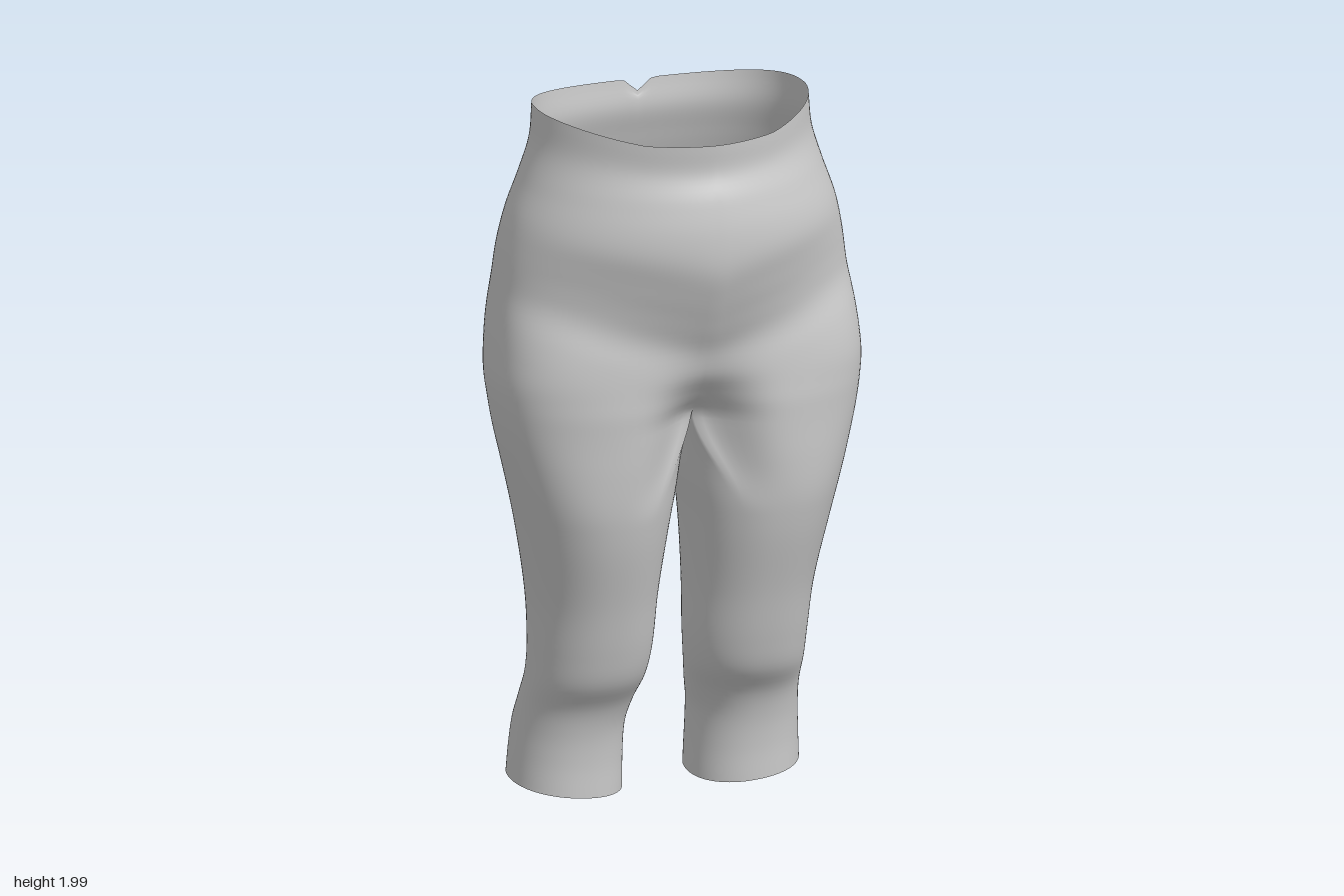
import * as THREE from 'three';
import { mergeGeometries, mergeVertices } from 'three/addons/utils/BufferGeometryUtils.js';

// Silhouette by height: y, half width, front z, back z
const OUTLINE = [
  [2.0, 0.385, 0.36, -0.27], [1.9, 0.395, 0.355, -0.265], [1.8, 0.425, 0.378, -0.29],
  [1.7, 0.46, 0.39, -0.325], [1.6, 0.482, 0.384, -0.36], [1.5, 0.495, 0.352, -0.38],
  [1.42, 0.508, 0.32, -0.386], [1.34, 0.518, 0.293, -0.374], [1.25, 0.525, 0.295, -0.335],
  [1.18, 0.52, 0.298, -0.285], [1.1, 0.508, 0.292, -0.252], [1.0, 0.486, 0.277, -0.236],
  [0.8, 0.44, 0.235, -0.226], [0.6, 0.405, 0.175, -0.216], [0.45, 0.395, 0.133, -0.209],
  [0.36, 0.394, 0.1, -0.222], [0.28, 0.398, 0.045, -0.255], [0.2, 0.404, 0.018, -0.285],
  [0.1, 0.41, 0.004, -0.298], [0, 0.415, 0, -0.308],
];
// Hip section: y, front roundness, back roundness, front dent, back dent
const SECTION = [
  [2.0, 1.75, 2.5, 0, 0], [1.7, 1.85, 2.4, 0, 0], [1.5, 2.1, 2.4, 0, 0],
  [1.38, 2.5, 2.4, 0.005, 0.005], [1.28, 2.7, 2.4, 0.03, 0.025],
  [1.2, 2.7, 2.4, 0.09, 0.06], [1.13, 2.7, 2.4, 0.14, 0.08], [0, 2.7, 2.4, 0.14, 0.08],
];
// Inner side of the leg: y, x
const INSEAM = [
  [1.2, 0], [1.1, 0.004], [1.0, 0.011], [0.8, 0.034], [0.6, 0.05], [0.45, 0.056],
  [0.36, 0.067], [0.28, 0.085], [0.2, 0.1], [0, 0.1],
];
const FORK = 1.16, OUTER = 64, INNER = 28;
const { smoothstep, lerp } = THREE.MathUtils;

// Smooth interpolation of one table column at height y
function sample(table, col, y) {
  const last = table.length - 1;
  if (y >= table[0][0]) return table[0][col];
  if (y <= table[last][0]) return table[last][col];
  let i = 0;
  while (table[i + 1][0] > y) i++;
  const slope = (k) => {
    const a = table[Math.max(k - 1, 0)], b = table[Math.min(k + 1, last)];
    return (b[col] - a[col]) / (b[0] - a[0]);
  };
  const [p, q] = [table[i], table[i + 1]];
  const h = q[0] - p[0], t = (y - p[0]) / h, t2 = t * t, t3 = t2 * t;
  return (2 * t3 - 3 * t2 + 1) * p[col] + (t3 - 2 * t2 + t) * h * slope(i)
    + (3 * t2 - 2 * t3) * q[col] + (t3 - t2) * h * slope(i + 1);
}

// Unit superellipse, angle from +z towards +x
function oval(a, n) {
  const s = Math.sin(a), c = Math.cos(a);
  const r = Math.pow(Math.abs(s) ** n + Math.abs(c) ** n, -1 / n);
  return [s * r, c * r];
}

// Half section of the hips; s runs 0 (front middle) to 1 (back middle)
function hipPoint(s, y) {
  const front = s < 0.5;
  const [u, v] = oval(s * Math.PI, sample(SECTION, front ? 1 : 2, y));
  const x = s === 0 || s === 1 ? 0 : sample(OUTLINE, 1, y) * u;
  // belly fold slants upwards towards the hips
  const slant = 0.3 * x * smoothstep(y, 1.2, 1.36) * (1 - smoothstep(y, 1.55, 1.85));
  const reach = front ? sample(OUTLINE, 2, y - slant) : -sample(OUTLINE, 3, y);
  const dent = sample(SECTION, front ? 3 : 4, y) * Math.exp(-((x / 0.12) ** 2));
  const z = reach * v + (front ? -dent : dent);
  return new THREE.Vector3(x, y, z);
}

function torsoRow(y) {
  const row = [];
  for (let j = 0; j <= OUTER; j++) {
    const p = hipPoint(j / OUTER, y);
    // waist rim is low at front and back, with a small nick at the back
    const k = smoothstep(y, 1.8, 2);
    p.y -= k * 0.035 * Math.min(1, (p.z / 0.3) ** 2);
    if (p.z < 0) p.y -= 0.035 * smoothstep(y, 1.93, 2) * Math.exp(-((p.x / 0.025) ** 2));
    row.push(p);
  }
  return row;
}

// Closed leg ring: outer arc matches the hips, inner arc spans the crotch
function legRow(y) {
  const w = smoothstep(FORK - y, 0, 0.3);
  const xin = sample(INSEAM, 1, y), xout = sample(OUTLINE, 1, y);
  const zf = sample(OUTLINE, 2, y), zb = sample(OUTLINE, 3, y);
  const start = -0.6, end = Math.PI + 0.6;
  const front = hipPoint(0, y), back = hipPoint(1, y);
  const row = [];
  for (let j = 0; j <= OUTER + INNER; j++) {
    const k = (j - OUTER) / INNER;
    const a = k <= 0 ? lerp(start, end, j / OUTER) : lerp(end, 2 * Math.PI + start, k);
    const [u, v] = oval(a, 2.15);
    const leg = new THREE.Vector3((xin + xout) / 2 + (xout - xin) / 2 * u, y, (zf + zb) / 2 + (zf - zb) / 2 * v);
    const hip = k <= 0 ? hipPoint(j / OUTER, y) : front.clone().lerp(back, 1 - k);
    const p = hip.lerp(leg, w);
    if (k > 0 && k < 1) p.y -= 0.06 * Math.sin(Math.PI * k) * smoothstep(y, 0.6, FORK);
    // hem rises outwards and backwards
    const rise = 0.032 * (p.x - 0.1) / 0.32 - 0.028 * p.z / 0.3;
    p.y += Math.max(0, rise) * (1 - smoothstep(y, 0, 0.3));
    row.push(p);
  }
  return row;
}

// Skin between rows of points; side -1 mirrors it
function loft(rows, side) {
  const n = rows[0].length, index = [];
  for (let i = 0; i < rows.length - 1; i++) {
    for (let j = 0; j < n - 1; j++) {
      const a = i * n + j, b = a + n, c = b + 1, d = a + 1;
      if (side > 0) index.push(a, b, c, a, c, d);
      else index.push(a, c, b, a, d, c);
    }
  }
  const points = rows.flat().map((p) => new THREE.Vector3(p.x * side, p.y, p.z));
  const geometry = new THREE.BufferGeometry().setFromPoints(points);
  geometry.setIndex(index);
  return geometry;
}

export function createModel() {
  const group = new THREE.Group();
  group.name = 'leggings';
  const rowsBetween = (top, bottom, count, make) =>
    Array.from({ length: count + 1 }, (_, i) => make(lerp(top, bottom, i / count)));
  const torso = rowsBetween(2, FORK, 48, torsoRow);
  const leg = rowsBetween(FORK, 0, 64, legRow);

  // Waist, hips and both legs are one continuous cloth surface
  const parts = [1, -1].flatMap((side) => [loft(torso, side), loft(leg, side)]);
  const geometry = mergeVertices(mergeGeometries(parts), 1e-5);
  geometry.computeVertexNormals();
  const material = new THREE.MeshStandardMaterial({ color: 0xcccccc, side: THREE.DoubleSide });
  const cloth = new THREE.Mesh(geometry, material);
  cloth.name = 'waistHipsAndLegs';
  group.add(cloth);
  return group;
}
